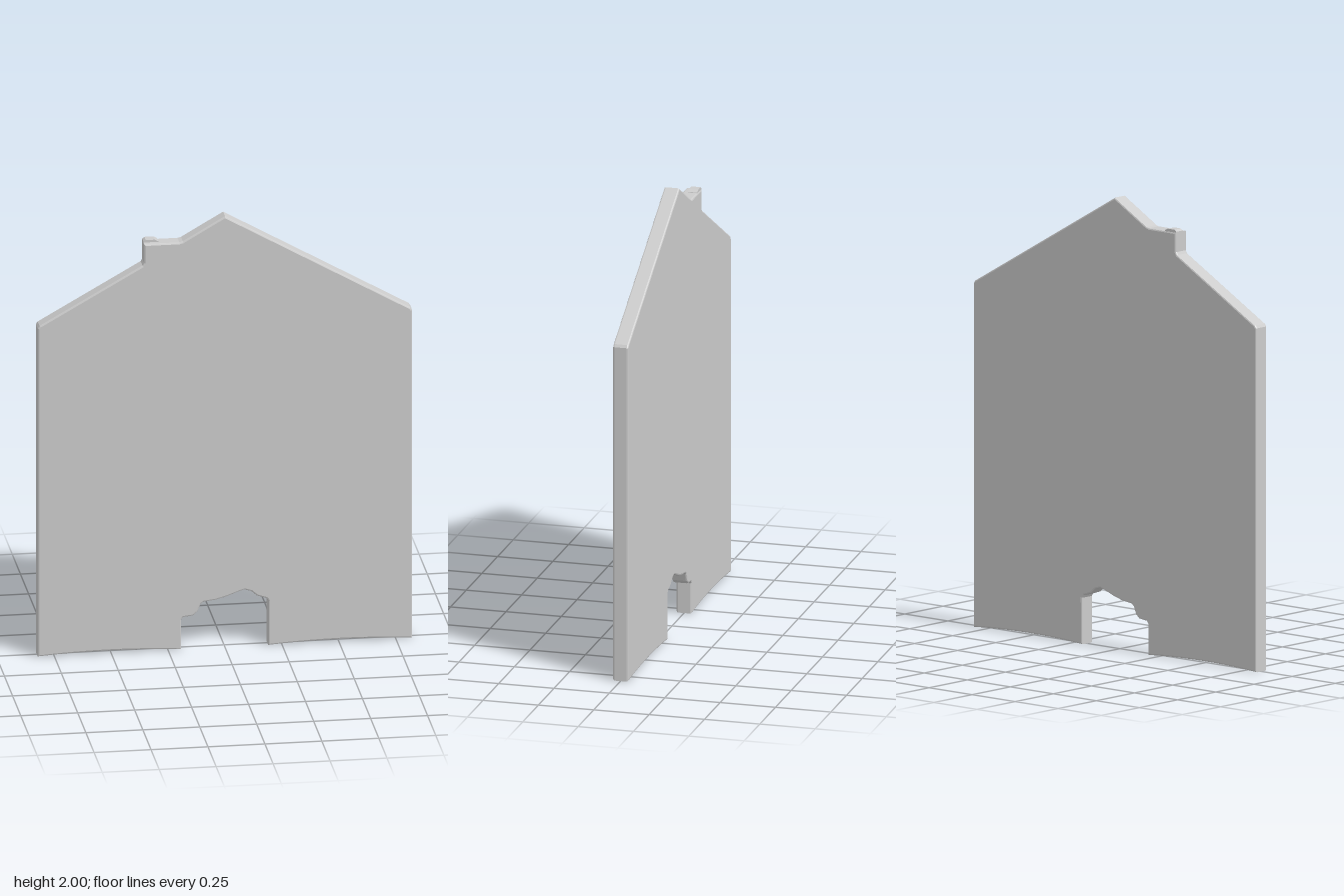
import * as THREE from 'three';

const HALF_DEPTH = 0.035, BEVEL = 0.007;

export function createModel() {
  const group = new THREE.Group();
  const material = new THREE.MeshStandardMaterial({ color: 0xcccccc, flatShading: true });

  // Outline of the gabled wall, counter-clockwise from the lower left corner
  const wall = new THREE.Shape();
  wall.moveTo(-0.822, 0.002);
  wall.quadraticCurveTo(-0.51, 0.026, -0.192, 0.002);
  // Ragged doorway
  const doorway = [
    [-0.192, 0.14], [-0.184, 0.151], [-0.14, 0.156], [-0.122, 0.172], [-0.107, 0.208],
    [-0.095, 0.217], [-0.04, 0.224], [0.01, 0.238], [0.055, 0.255], [0.085, 0.265],
    [0.115, 0.256], [0.14, 0.234], [0.182, 0.22], [0.19, 0.208], [0.19, 0.002],
  ];
  doorway.forEach(([x, y]) => wall.lineTo(x, y));
  wall.quadraticCurveTo(0.51, 0.026, 0.822, 0.002);
  // Right eave, ridge, chimney shoulder, left eave
  const roof = [
    [0.822, 1.522], [0.814, 1.534], [0, 2], [-0.185, 1.893], [-0.2, 1.889], [-0.355, 1.889],
    [-0.355, 1.802], [-0.362, 1.79], [-0.814, 1.534], [-0.822, 1.522],
  ];
  roof.forEach(([x, y]) => wall.lineTo(x, y));
  wall.closePath();

  const wallGeometry = new THREE.ExtrudeGeometry(wall, {
    depth: 2 * (HALF_DEPTH - BEVEL), curveSegments: 10,
    bevelSize: BEVEL, bevelOffset: -BEVEL, bevelThickness: BEVEL, bevelSegments: 2,
  });
  wallGeometry.translate(0, 0, BEVEL - HALF_DEPTH);
  const wallMesh = new THREE.Mesh(wallGeometry, material);
  wallMesh.name = 'gableWall';
  group.add(wallMesh);

  // Low raised lip on the chimney, set toward the back
  const lip = new THREE.Shape();
  [[-0.355, 1.875], [-0.285, 1.875], [-0.29, 1.892], [-0.306, 1.9], [-0.345, 1.9], [-0.355, 1.892]]
    .forEach(([x, y], i) => (i ? lip.lineTo(x, y) : lip.moveTo(x, y)));
  const lipGeometry = new THREE.ExtrudeGeometry(lip, { depth: 0.042, bevelEnabled: false });
  lipGeometry.translate(0, 0, -0.032);
  const lipMesh = new THREE.Mesh(lipGeometry, material);
  lipMesh.name = 'chimneyLip';
  group.add(lipMesh);

  return group;
}
